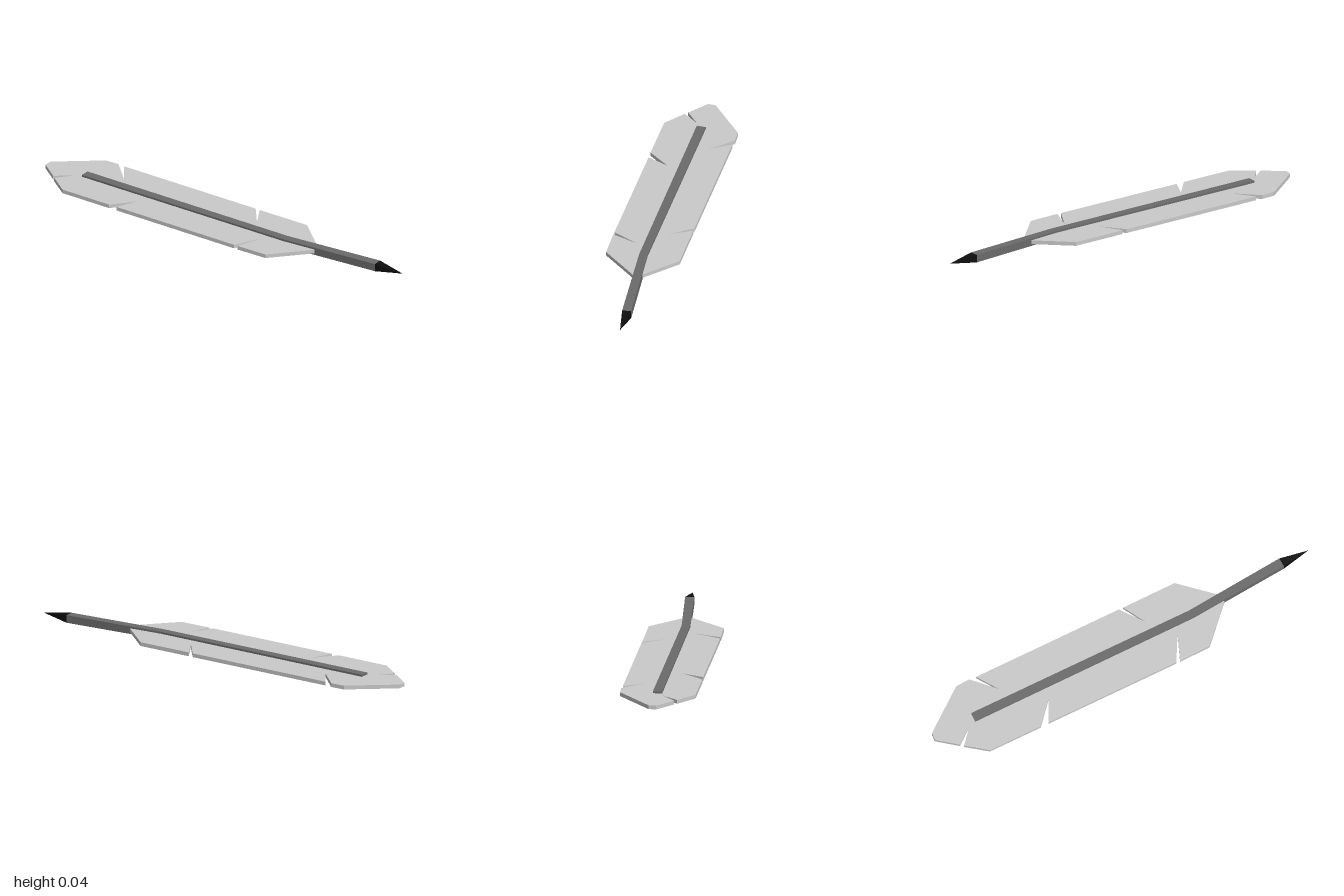
import * as THREE from 'three';

const material = (name, color) => {
  const m = new THREE.MeshStandardMaterial({ color, flatShading: true });
  m.name = name;
  return m;
};

// Flat slab lying on its side: outline in [x, z], from height y0 to y1
function slab(name, outline, y0, y1, mat) {
  const shape = new THREE.Shape(outline.map(([x, z]) => new THREE.Vector2(x, z)));
  const geo = new THREE.ExtrudeGeometry(shape, { depth: y1 - y0, bevelEnabled: false });
  geo.rotateX(Math.PI / 2).translate(0, y1, 0);
  const mesh = new THREE.Mesh(geo, mat);
  mesh.name = name;
  return mesh;
}

export function createModel() {
  const group = new THREE.Group();
  group.name = 'quill';
  const vaneGrey = material('vane grey', 0xcacaca);
  const shaftGrey = material('shaft grey', 0x6b6b6b);
  const nibBlack = material('nib black', 0x0e0e0e);
  const H = 0.04;

  // Feather vane with notches cut along both edges
  group.add(slab('vane', [
    [-0.29, -1], [-0.06, -0.845], [-0.033, -0.775],
    [-0.105, -0.635], [-0.025, -0.74],
    [0.23, 0.015], [0.147, 0.137], [0.237, 0.038],
    [0.33, 0.31], [0.24, 0.515], [0.2, 0.543], [-0.025, 0.437],
    [-0.082, 0.28], [0.065, 0.288], [-0.088, 0.26],
    [-0.315, -0.415], [-0.195, -0.4], [-0.33, -0.457],
    [-0.42, -0.725], [-0.378, -0.85], [-0.28, -0.81], [-0.37, -0.87],
    [-0.328, -0.99],
  ], 0.01, 0.03, vaneGrey));

  // Bent shaft
  group.add(slab('shaft', [
    [-0.26, -0.777], [-0.215, -0.79], [0.172, 0.36],
    [0.383, 0.845], [0.34, 0.862], [0.133, 0.378],
  ], 0, H, shaftGrey));

  // Pointed nib: four sides from the shaft end to the tip
  const base = [[0.34, 0, 0.862], [0.383, 0, 0.845], [0.383, H, 0.845], [0.34, H, 0.862]];
  const tip = [0.412, H / 2, 0.995];
  const points = base.flatMap((p, i) => [...p, ...base[(i + 1) % 4], ...tip]);
  const nibGeo = new THREE.BufferGeometry();
  nibGeo.setAttribute('position', new THREE.Float32BufferAttribute(points, 3));
  nibGeo.computeVertexNormals();
  const nib = new THREE.Mesh(nibGeo, nibBlack);
  nib.name = 'nib';
  group.add(nib);

  return group;
}
